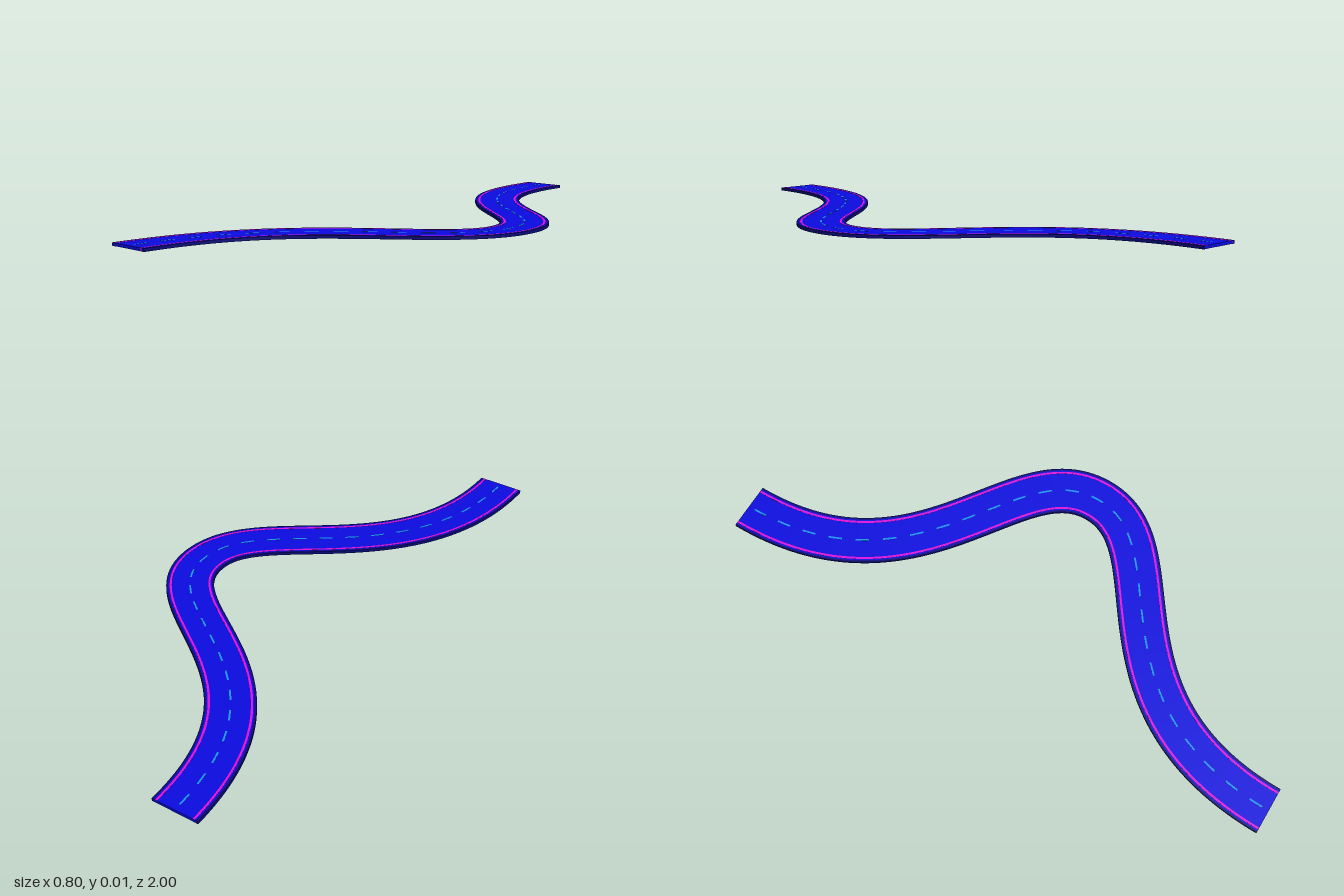
import * as THREE from 'three';
import { toCreasedNormals } from 'three/addons/utils/BufferGeometryUtils.js';

const HALF = 0.08;    // half the road width
const BEND = 0.318;   // centre line runs from x = -BEND (ends) to +BEND (middle)

// Centre line: two mirrored curves, from the front end to the back end
function centreLine() {
  const v = (x, z) => new THREE.Vector3(x, 0, z);
  const path = new THREE.CurvePath();
  path.add(new THREE.CubicBezierCurve3(v(-BEND, 1), v(-BEND, 0.31), v(BEND, 0.33), v(BEND, 0)));
  path.add(new THREE.CubicBezierCurve3(v(BEND, 0), v(BEND, -0.33), v(-BEND, -0.31), v(-BEND, -1)));
  return path;
}

// Sweep a rectangle (side offsets o0..o1, heights y0..y1) along part u0..u1 of the path
function strip(path, o0, o1, y0, y1, u0 = 0, u1 = 1, steps = 160) {
  const section = [[o0, y0], [o1, y0], [o1, y1], [o0, y1]];
  const pos = [], index = [];
  for (let i = 0; i <= steps; i++) {
    const u = u0 + (u1 - u0) * i / steps;
    const p = path.getPoint(u), t = path.getTangent(u);
    const bank = 0.0012 * (p.x + BEND) / (2 * BEND);   // slight banking in the bend
    for (const [o, y] of section) {
      pos.push(p.x - t.z * o, y + bank * (1 + o / HALF), p.z + t.x * o);
    }
    if (i === steps) break;
    for (let j = 0; j < 4; j++) {
      const a = i * 4 + j, b = i * 4 + (j + 1) % 4;
      index.push(a, a + 4, b + 4, a, b + 4, b);
    }
  }
  const e = steps * 4;
  index.push(0, 1, 2, 0, 2, 3, e, e + 2, e + 1, e, e + 3, e + 2);
  const geo = new THREE.BufferGeometry();
  geo.setAttribute('position', new THREE.Float32BufferAttribute(pos, 3));
  geo.setIndex(index);
  return toCreasedNormals(geo, Math.PI / 4);
}

export function createModel() {
  const group = new THREE.Group();
  group.name = 'curvedRoad';
  const path = centreLine();
  const blue = new THREE.MeshStandardMaterial({ color: 0x0a0ae0 });
  const navy = new THREE.MeshStandardMaterial({ color: 0x08087a });
  const pink = new THREE.MeshStandardMaterial({ color: 0xe010d8 });
  const cyan = new THREE.MeshStandardMaterial({ color: 0x1a96f0 });
  const add = (name, geo, mat, parent = group) => {
    const mesh = new THREE.Mesh(geo, mat);
    mesh.name = name;
    parent.add(mesh);
  };

  // Road slab
  add('roadSurface', strip(path, -0.073, 0.073, 0.0005, 0.0105), blue);

  // Dark outer edges and bright edge lines on both sides
  for (const [side, s] of [['right', -1], ['left', 1]]) {
    const both = (a, b, y0, y1) => strip(path, Math.min(s * a, s * b), Math.max(s * a, s * b), y0, y1);
    add(side + 'RoadEdge', both(0.073, HALF, 0, 0.0105), navy);
    add(side + 'EdgeLine', both(0.0615, 0.0685, 0.0002, 0.011), pink);
  }

  // Dashed centre line
  const dashes = new THREE.Group();
  dashes.name = 'centreDashes';
  group.add(dashes);
  const count = 27;
  for (let i = 0; i < count; i++) {
    const u = (i + 0.25) / count;
    add('centreDash', strip(path, -0.003, 0.003, 0.009, 0.011, u, u + 0.5 / count, 6), cyan, dashes);
  }
  return group;
}
